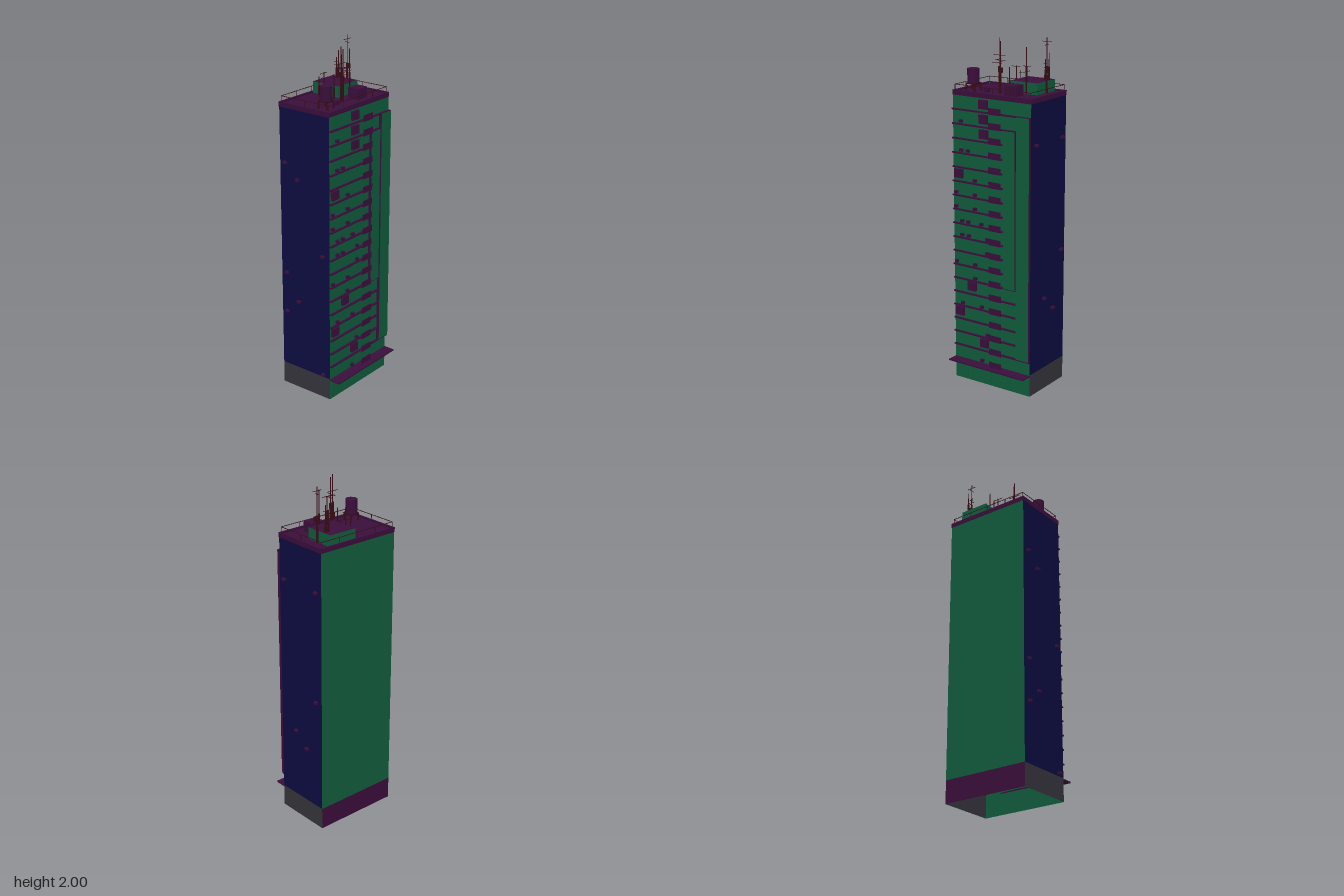
import * as THREE from 'three';

const mat = (name, color, side = THREE.FrontSide) => {
  const m = new THREE.MeshStandardMaterial({ color, side });
  m.name = name;
  return m;
};

export function createModel() {
  const green = mat('green wall', 0x105a3b, THREE.DoubleSide);
  const navy = mat('navy wall', 0x0c0c40, THREE.DoubleSide);
  const purple = mat('purple trim', 0x3a0e3a, THREE.DoubleSide);
  const grey = mat('grey base', 0x33333a, THREE.DoubleSide);
  const maroon = mat('maroon metal', 0x380c16);
  const model = new THREE.Group();
  model.name = 'towerBlock';

  const add = (name, geo, material, x, y, z) => {
    const m = new THREE.Mesh(geo, material);
    m.name = name;
    m.position.set(x, y, z);
    model.add(m);
    return m;
  };
  // Box given by its limits on each axis
  const box = (name, material, x0, x1, y0, y1, z0, z1) =>
    add(name, new THREE.BoxGeometry(x1 - x0, y1 - y0, z1 - z0), material,
      (x0 + x1) / 2, (y0 + y1) / 2, (z0 + z1) / 2);
  const wall = (name, material, w, y0, y1, x, z, turn) => {
    add(name, new THREE.PlaneGeometry(w, y1 - y0), material, x, (y0 + y1) / 2, z).rotation.y = turn;
  };

  const W = 0.26, ZB = -0.205, ZF = 0.14, ZC = (ZB + ZF) / 2, D = ZF - ZB;
  const BASE = 0.13, TOP = 1.69;

  // Shell, open underneath
  wall('frontWall', green, 2 * W, 0, TOP, 0, ZF, 0);
  wall('backWall', green, 2 * W, BASE, TOP, 0, ZB, Math.PI);
  wall('backBase', purple, 2 * W, 0, BASE, 0, ZB, Math.PI);
  for (const s of [-1, 1]) {
    wall('sideWall', navy, D, BASE, TOP, s * W, ZC, s * Math.PI / 2);
    wall('sideBase', grey, D, 0, BASE, s * W, ZC, s * Math.PI / 2);
  }

  // Shop fronts and canopy
  for (let i = 0; i < 4; i++) {
    const x = -0.195 + i * 0.13;
    box('shopFront', green, x - 0.06, x + 0.06, 0.005, 0.1, ZF, ZF + 0.003);
  }
  box('canopy', purple, -W, W, 0.12, 0.128, ZF, 0.207);

  // Floor ledges and small balconies
  const step = 0.0819;
  for (let i = 0; i < 19; i++) {
    const y = 0.127 + i * step;
    const end = i === 1 || i === 18 ? W : i > 6 && i < 17 ? 0.088 : 0.175;
    if (i) box('floorLedge', purple, -W, end, y - 0.004, y + 0.004, ZF, 0.153);
    box('balconyFloor', purple, 0, 0.08, y - 0.002, y + 0.002, ZF, 0.17);
    box('balconyFront', purple, 0, 0.08, y, y + 0.034, 0.166, 0.17);
  }

  // Projecting wall strips
  const strip = [purple, purple, purple, purple, green, purple];
  box('innerStrip', strip, 0.088, 0.166, 0.62, 1.518, ZF, 0.157);
  box('outerStrip', strip, 0.175, W, 0.214, 1.603, ZF, 0.159);

  // Square panels on the front
  for (const [x, y] of [[-0.048, 1.645], [-0.048, 1.563], [-0.048, 1.48], [-0.22, 1.238],
    [-0.133, 0.585], [-0.22, 0.42], [-0.048, 0.255]]) {
    box('squarePanel', purple, x - 0.028, x + 0.028, y - 0.025, y + 0.025, ZF, 0.155);
  }

  // Cooling units, listed by floor, on the front ledges
  const rows = [[0, -0.065], [2, -0.025], [4, -0.2, -0.065], [6, -0.11], [7, -0.24, -0.11],
    [8, -0.025], [9, -0.2, -0.155, -0.025], [10, -0.2, -0.155, -0.065], [11, -0.24, -0.11],
    [12, -0.24, -0.11], [13, -0.11], [15, -0.2, -0.155], [17, -0.2]];
  for (const [floor, ...xs] of rows) {
    const y = 0.137 + floor * step;
    for (const x of xs) box('coolingUnit', purple, x - 0.01, x + 0.01, y, y + 0.016, ZF, 0.155);
  }
  // Cooling units on the sides: side, height, z
  for (const [s, y, z] of [[-1, 1.37, -0.165], [-1, 1.287, -0.08], [-1, 0.88, 0.097],
    [-1, 0.715, -0.165], [-1, 0.555, -0.08], [-1, 0.473, -0.165], [-1, 0.147, 0.097],
    [1, 1.45, -0.165], [1, 1.45, 0.097], [1, 0.8, -0.165], [1, 0.555, 0.01], [1, 0.473, -0.08]]) {
    add('sideCoolingUnit', new THREE.BoxGeometry(0.016, 0.014, 0.021), purple, s * 0.268, y, z);
  }

  // Roof and parapet
  box('roofDeck', purple, -W, W, 1.685, 1.695, ZB, ZF);
  for (const s of [-1, 1]) {
    box('sideParapet', purple, s * 0.257 - 0.005, s * 0.257 + 0.005, 1.678, 1.705, ZB - 0.002, ZF + 0.002);
    const z = s > 0 ? ZF - 0.003 : ZB + 0.003;
    box('endParapet', purple, -0.262, 0.262, 1.678, 1.705, z - 0.005, z + 0.005);
  }

  // Roof railing
  const r = 0.0012;
  for (const x of [-0.251, 0.251]) {
    box('sideRail', maroon, x - r, x + r, 1.734, 1.737, -0.197, 0.131);
    for (const z of [-0.197, -0.033, 0.131]) box('railPost', maroon, x - r, x + r, 1.69, 1.736, z - r, z + r);
    for (const z of [-0.197, 0.131]) {
      if (x > 0 || z < 0) box('railFoot', green, x - 0.005, x + 0.005, 1.69, 1.7, z - 0.005, z + 0.005);
    }
  }
  for (const z of [-0.197, 0.131]) {
    box('endRail', maroon, -0.251, 0.251, 1.734, 1.737, z - r, z + r);
    for (const x of [-0.125, 0, 0.125]) box('railPost', maroon, x - r, x + r, 1.69, 1.736, z - r, z + r);
  }

  // Roof houses and water tank
  box('liftHouse', [green, green, purple, purple, green, green], 0.015, 0.19, 1.69, 1.76, -0.197, -0.022);
  box('plantBox', purple, 0.05, 0.13, 1.69, 1.755, 0.02, 0.09);
  box('roofVent', purple, -0.105, -0.077, 1.69, 1.72, 0.045, 0.066);
  add('waterTank', new THREE.CylinderGeometry(0.034, 0.034, 0.08, 12), purple, -0.181, 1.78, 0.055);
  box('tankStand', maroon, -0.212, -0.15, 1.734, 1.741, 0.024, 0.086);
  for (const x of [-0.209, -0.153]) for (const z of [0.027, 0.083]) {
    box('tankLeg', maroon, x - 0.003, x + 0.003, 1.69, 1.735, z - 0.003, z + 0.003);
  }

  // Antennas: x, z, foot, top
  const mast = (x, z, y0, y1) => {
    const mid = y0 + (y1 - y0) * 0.5;
    box('mastLower', maroon, x - 0.004, x + 0.004, y0, mid, z - 0.004, z + 0.004);
    box('mastUpper', maroon, x - 0.0018, x + 0.0018, mid, y1, z - 0.0018, z + 0.0018);
  };
  const barX = (x0, x1, y, z) => box('antennaBar', maroon, x0, x1, y - r, y + r, z - r, z + r);
  const barZ = (x, y, z0, z1) => box('antennaBar', maroon, x - r, x + r, y - r, y + r, z0, z1);
  for (const m of [[-0.024, 0.03, 1.69, 1.995], [-0.012, 0.035, 1.69, 1.98], [0.198, -0.102, 1.69, 2],
    [0.093, -0.06, 1.76, 1.915], [0.118, -0.024, 1.69, 1.95], [0.16, -0.147, 1.76, 1.875],
    [0.182, -0.15, 1.76, 1.91], [-0.002, -0.035, 1.69, 1.83], [-0.002, -0.104, 1.69, 1.83],
    [-0.002, -0.14, 1.69, 1.8]]) mast(...m);
  barX(-0.06, 0.015, 1.902, 0.03);
  barX(-0.04, 0.02, 1.875, 0.035);
  barX(-0.045, 0.02, 1.865, 0.066);
  barZ(-0.024, 1.88, 0.01, 0.066);
  barZ(-0.012, 1.865, 0.02, 0.066);
  barX(0.168, 0.228, 1.978, -0.102);
  barZ(0.198, 1.96, -0.118, -0.086);
  barX(0.07, 0.122, 1.84, -0.06);
  barZ(0.093, 1.81, -0.095, -0.03);
  barZ(0.16, 1.85, -0.166, -0.128);
  barZ(0.165, 1.83, -0.166, -0.128);
  barX(-0.035, 0.022, 1.825, -0.104);
  barX(-0.002, 0.018, 1.79, -0.13);
  // Equipment boxes on the masts
  for (const [x, y, z] of [[0.204, 1.825, -0.1], [-0.012, 1.82, 0.03], [0.17, 1.775, -0.14]]) {
    add('mastBox', new THREE.BoxGeometry(0.012, 0.028, 0.022), maroon, x, y, z);
  }
  return model;
}
